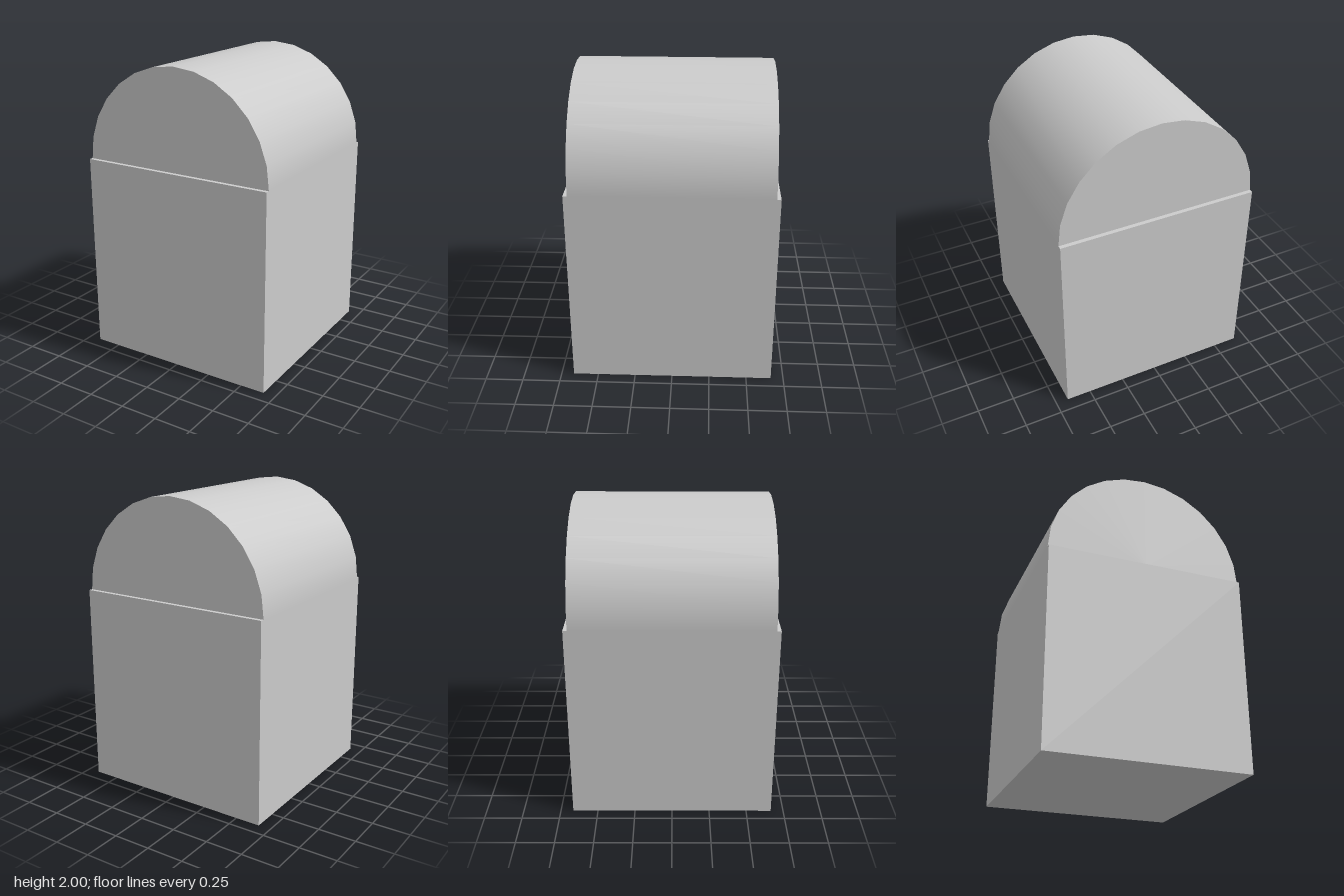
import * as THREE from 'three';

export function createModel() {
  const group = new THREE.Group();
  const material = new THREE.MeshStandardMaterial({ color: 0xcccccc });
  const width = 4 / 3;

  // Cubic base standing on the ground
  const base = new THREE.Mesh(new THREE.BoxGeometry(width, width, width), material);
  base.name = 'base';
  base.position.y = width / 2;
  group.add(base);

  // Half-round roof, slightly shorter than the base, lying along z
  const roofGeometry = new THREE.CylinderGeometry(
    width / 2, width / 2, 1.28, 14, 1, false, Math.PI / 2, Math.PI
  );
  roofGeometry.rotateX(Math.PI / 2);
  const roof = new THREE.Mesh(roofGeometry, material);
  roof.name = 'barrelRoof';
  roof.position.y = width;
  group.add(roof);

  return group;
}
